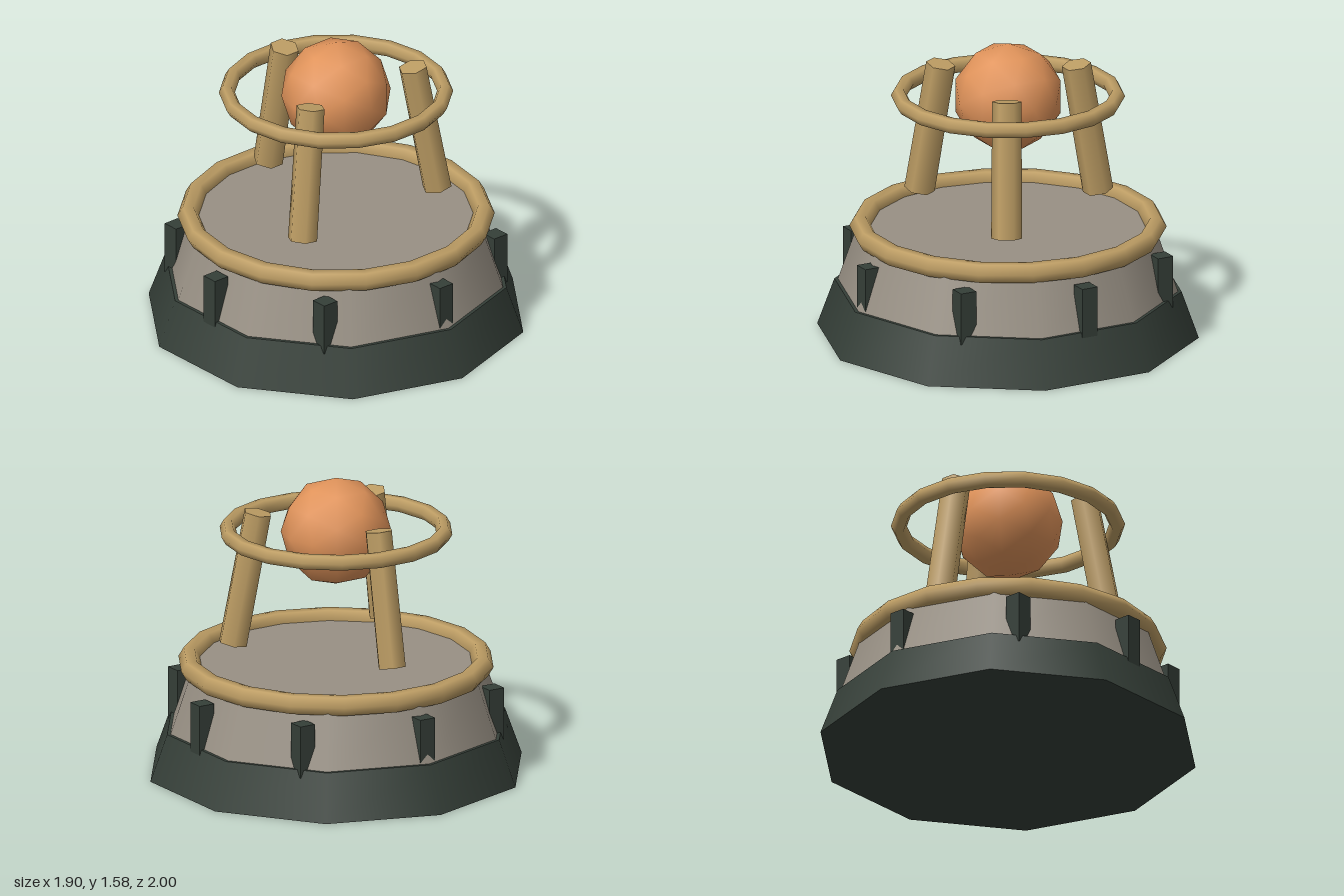
import * as THREE from 'three';

function material(name, color) {
  const m = new THREE.MeshStandardMaterial({ color });
  m.name = name;
  return m;
}

export function createModel() {
  const model = new THREE.Group();
  const darkIron = material('dark iron', 0x353f38);
  const stone = material('stone', 0x989084);
  const brass = material('brass', 0xbd9d64);
  const orange = material('orange', 0xe0935a);

  function add(name, geometry, mat, x, y, z, parent = model) {
    const mesh = new THREE.Mesh(geometry, mat);
    mesh.name = name;
    mesh.position.set(x, y, z);
    parent.add(mesh);
    return mesh;
  }

  // Ten-sided plinth and drum
  add('base', new THREE.CylinderGeometry(0.91, 1, 0.25, 10), darkIron, 0, 0.125, 0);
  add('drum', new THREE.CylinderGeometry(0.78, 0.9, 0.35, 10), stone, 0, 0.4, 0);

  // Square studs around the drum, all aligned with the axes
  const studs = new THREE.Group();
  studs.name = 'studs';
  model.add(studs);
  for (let i = 0; i < 8; i++) {
    const a = (i * Math.PI) / 4;
    add('stud', new THREE.BoxGeometry(0.09, 0.28, 0.09), darkIron,
      0.83 * Math.cos(a), 0.35, 0.83 * Math.sin(a), studs);
  }

  // Horizontal rings
  const ring = (name, radius, tube, y) => {
    add(name, new THREE.TorusGeometry(radius, tube, 6, 18), brass, 0, y, 0).rotation.x = Math.PI / 2;
  };
  ring('rimRing', 0.77, 0.056, 0.575);
  ring('upperRing', 0.568, 0.042, 1.29);

  // Three posts leaning inwards, the first at the back
  for (let i = 0; i < 3; i++) {
    const pivot = new THREE.Group();
    pivot.name = 'post';
    pivot.rotation.y = Math.PI / 2 + (i * Math.PI * 2) / 3;
    model.add(pivot);
    const post = new THREE.CylinderGeometry(0.077, 0.08, 0.72, 6);
    add('postShaft', post, brass, 0.472, 1.04, 0, pivot).rotation.z = 0.18;
  }

  // Floating orb
  add('orb', new THREE.IcosahedronGeometry(0.288, 1), orange, 0, 1.288, 0);

  return model;
}
